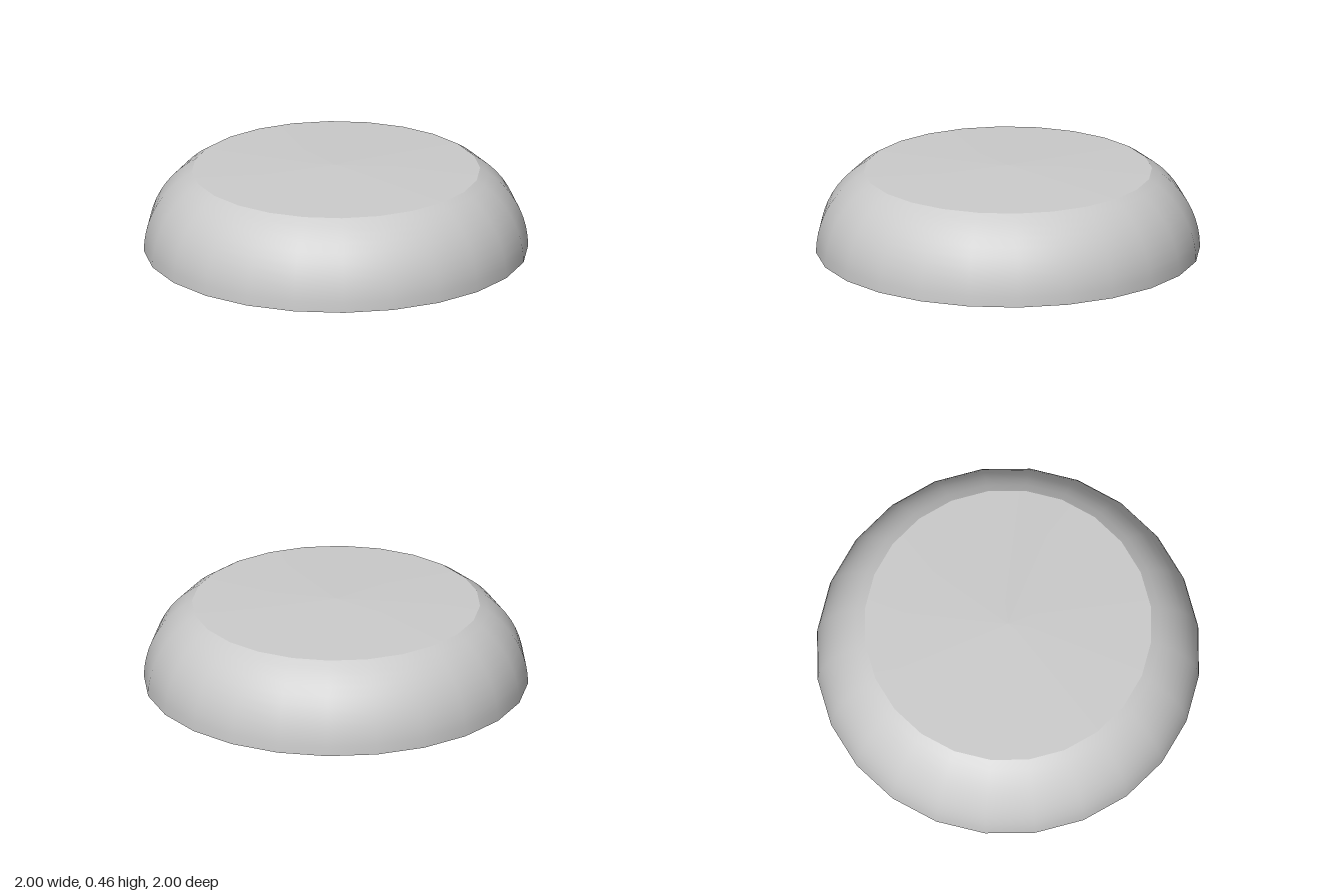
import * as THREE from 'three';

const SIDES = 24;
const EDGE_RADIUS = 0.5; // radius of the rounded wall, centred at r = 0.5 on the ground
const ARC = Math.PI / 3; // the wall curves through 60 degrees
const ARC_STEPS = 10;

export function createModel() {
  const group = new THREE.Group();
  group.name = 'roundedDome';
  const material = new THREE.MeshStandardMaterial({ color: 0xcccccc, side: THREE.DoubleSide });

  const addLathe = (name, points) => {
    const mesh = new THREE.Mesh(new THREE.LatheGeometry(points, SIDES), material);
    mesh.name = name;
    group.add(mesh);
  };

  // Curved thin wall, from the ground up to the edge of the lid
  const wall = [];
  for (let i = 0; i <= ARC_STEPS; i++) {
    const a = (ARC * i) / ARC_STEPS;
    wall.push(new THREE.Vector2(0.5 + EDGE_RADIUS * Math.cos(a), EDGE_RADIUS * Math.sin(a)));
  }
  addLathe('wall', wall);

  // Shallow conical lid
  addLathe('lid', [wall[ARC_STEPS].clone(), new THREE.Vector2(0, 0.46)]);

  // Flat ring underneath, open in the middle
  addLathe('baseRing', [new THREE.Vector2(0.8, 0), new THREE.Vector2(1, 0)]);

  return group;
}
